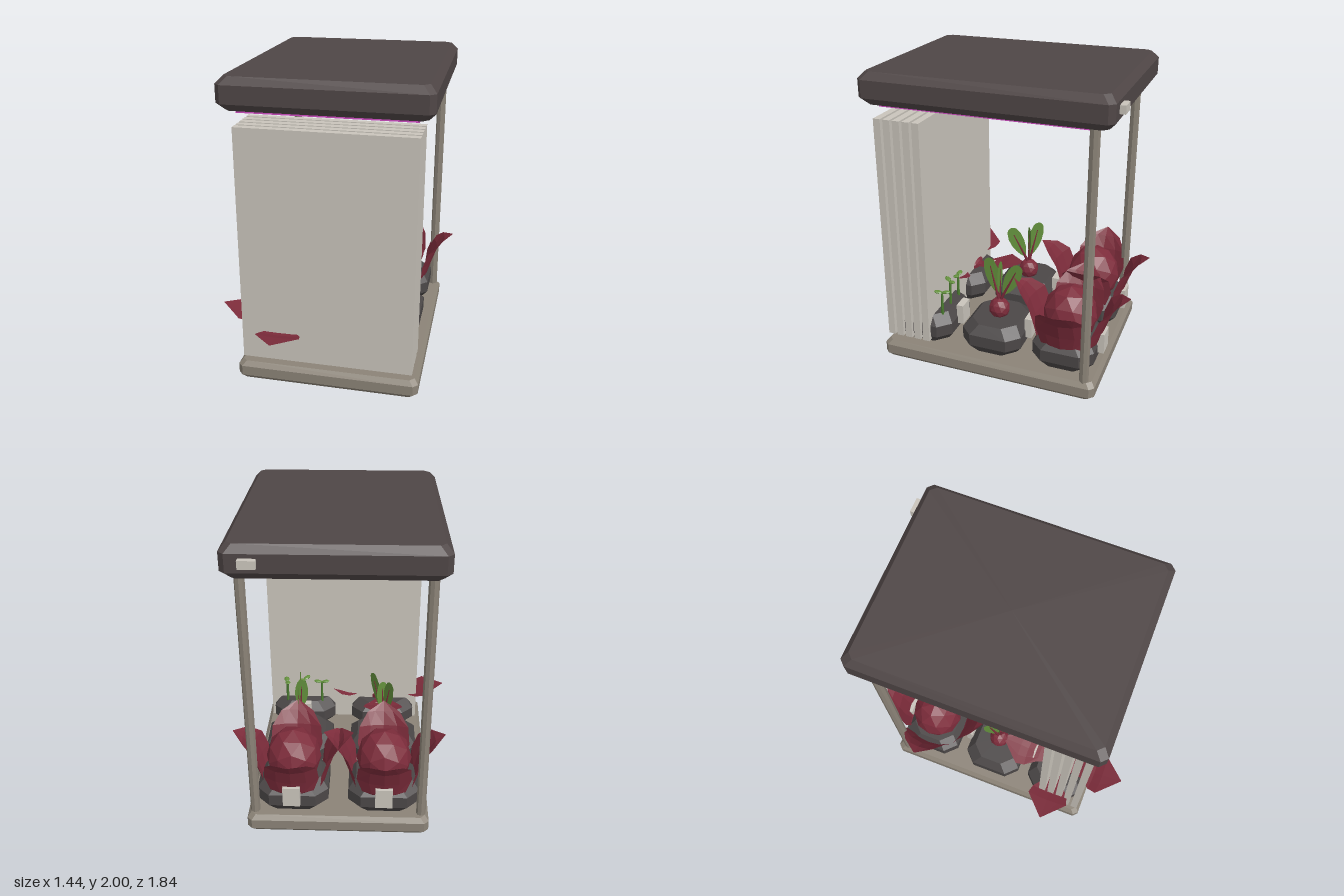
import * as THREE from 'three';

const mat = (name, color, double) => {
  const m = new THREE.MeshStandardMaterial({ color });
  m.name = name;
  if (double) m.side = THREE.DoubleSide;
  return m;
};

// Bakes flat facets into the geometry
function facet(geo) {
  const g = geo.index ? geo.toNonIndexed() : geo;
  g.computeVertexNormals();
  return g;
}

// Box with cut corners, lofted from octagonal rings [y, inset]
function chamferBox(hx, hz, c, rings) {
  const pos = [];
  const loops = rings.map(([y, inset]) => {
    const a = hx - inset, b = hz - inset, k = c;
    return [[a, k - b], [a, b - k], [a - k, b], [k - a, b], [-a, b - k], [-a, k - b], [k - a, -b], [a - k, -b]]
      .map(([x, z]) => [x, y, z]);
  });
  const tri = (...p) => p.forEach((v) => pos.push(...v));
  const first = loops[0], last = loops[loops.length - 1];
  for (let j = 0; j < 8; j++) {
    const n = (j + 1) % 8;
    for (let i = 0; i + 1 < loops.length; i++) {
      const a = loops[i][j], b = loops[i][n], d = loops[i + 1][j], e = loops[i + 1][n];
      tri(a, d, e);
      tri(a, e, b);
    }
    tri([0, first[0][1], 0], first[j], first[n]);
    tri([0, last[0][1], 0], last[n], last[j]);
  }
  const g = new THREE.BufferGeometry();
  g.setAttribute('position', new THREE.Float32BufferAttribute(pos, 3));
  return facet(g);
}

// Sheet leaf growing towards +z; rows are [radius, y, halfWidth, cup]
function sheetLeaf(rows) {
  const pos = [], idx = [];
  const across = [-1, -0.55, 0, 0.55, 1];
  rows.forEach(([r, y, w, cup]) => across.forEach((t) => pos.push(t * w, y + cup * t * t * 0.3, r - cup * t * t)));
  for (let i = 0; i + 1 < rows.length; i++) {
    for (let j = 0; j < 4; j++) {
      const a = i * 5 + j;
      idx.push(a, a + 1, a + 6, a, a + 6, a + 5);
    }
  }
  const g = new THREE.BufferGeometry();
  g.setAttribute('position', new THREE.Float32BufferAttribute(pos, 3));
  g.setIndex(idx);
  return facet(g);
}

export function createModel() {
  const model = new THREE.Group();
  model.name = 'indoorGarden';
  const roofMat = mat('charcoal', 0x4f4646);
  const frameMat = mat('warm grey', 0x8b8377);
  const panelMat = mat('pale grey', 0xc9c4bb);
  const lampMat = mat('magenta', 0xd04cc4);
  const potMat = mat('dark grey', 0x4b4747);
  const redMat = mat('beet red', 0x7d2c3b, true);
  const greenMat = mat('leaf green', 0x63903c, true);
  const stemMat = mat('stem green', 0x4a7a30);

  const add = (parent, name, geo, material, x = 0, y = 0, z = 0) => {
    const m = new THREE.Mesh(geo, material);
    m.name = name;
    m.position.set(x, y, z);
    parent.add(m);
    return m;
  };
  const box = (name, material, w, h, d, x, y, z, parent = model) =>
    add(parent, name, new THREE.BoxGeometry(w, h, d), material, x, y, z);

  // Cabinet: base, roof, lamp, rear posts, switch
  add(model, 'base', chamferBox(0.59, 0.742, 0.03, [[0, 0.025], [0.03, 0], [0.095, 0], [0.125, 0.025]]),
    frameMat, 0.06, 0, -0.036);
  add(model, 'roof', chamferBox(0.63, 0.782, 0.035, [[1.8, 0.04], [1.845, 0], [1.955, 0], [2, 0.04]]),
    roofMat, 0.06, 0, -0.042);
  box('growLamp', lampMat, 1.07, 0.035, 1.32, 0.06, 1.793, -0.018);
  for (const x of [-0.48, 0.6]) {
    add(model, 'rearPost', facet(new THREE.CylinderGeometry(0.031, 0.031, 1.7, 8)), frameMat, x, 0.96, -0.702);
  }
  box('switch', panelMat, 0.1, 0.05, 0.05, 0.53, 1.905, -0.835);

  // Stacked sliding front panels
  for (let i = 0; i < 5; i++) box('slidingPanel', panelMat, 1.1, 1.535, 0.047, 0.06, 0.9325, 0.66 - i * 0.065);

  const potGeo = chamferBox(0.23, 0.207, 0.08, [[0.125, 0.045], [0.19, 0], [0.27, 0], [0.33, 0.05]]);
  const lettuceLeaf = sheetLeaf([[0.17, 0.24, 0.08, 0], [0.21, 0.29, 0.14, 0.03], [0.24, 0.39, 0.175, 0.05],
    [0.28, 0.5, 0.165, 0.05], [0.33, 0.58, 0.11, 0.02], [0.39, 0.625, 0.003, 0]]);
  const lowLeaf = sheetLeaf([[0.06, 0.33, 0.025, 0], [0.17, 0.355, 0.07, 0], [0.26, 0.365, 0.13, 0.01],
    [0.32, 0.385, 0.145, 0.01], [0.46, 0.415, 0.003, 0]]);
  const bulbGeo = facet(new THREE.IcosahedronGeometry(1, 1));
  const blade = new THREE.Shape();
  blade.moveTo(0, 0);
  blade.bezierCurveTo(0.035, 0.04, 0.075, 0.16, 0.035, 0.25);
  blade.quadraticCurveTo(0, 0.29, -0.035, 0.25);
  blade.bezierCurveTo(-0.075, 0.16, -0.035, 0.04, 0, 0);
  const bladeGeo = new THREE.ShapeGeometry(blade, 5);

  const bulb = (parent, name, rx, ry, y) => add(parent, name, bulbGeo, redMat, 0, y, 0).scale.set(rx, ry, rx);
  const fourLeaves = (parent, name, geo) => {
    for (let i = 0; i < 4; i++) add(parent, name, geo, redMat).rotation.y = i * Math.PI / 2;
  };

  // Head of red lettuce
  function lettuce(p) {
    bulb(p, 'lettuceHeart', 0.18, 0.2, 0.44);
    fourLeaves(p, 'lettuceLeaf', lettuceLeaf);
  }

  // Low rosette with a flattened heart
  function rosette(p) {
    bulb(p, 'rosetteHeart', 0.12, 0.06, 0.34);
    fourLeaves(p, 'rosetteLeaf', lowLeaf);
  }

  // Radish with upright blades and red ribs
  function radish(p, turn) {
    bulb(p, 'radishRoot', 0.072, 0.075, 0.375);
    const top = new THREE.Group();
    top.name = 'radishTop';
    top.rotation.y = turn;
    p.add(top);
    for (const [tilt, spin, size] of [[-0.24, 0, 1], [0.44, 0, 1], [0.06, Math.PI / 2, 0.9]]) {
      const leaf = new THREE.Group();
      leaf.name = 'radishLeaf';
      leaf.position.y = 0.42;
      leaf.rotation.set(0, spin, -tilt);
      leaf.scale.setScalar(size);
      top.add(leaf);
      add(leaf, 'blade', bladeGeo, greenMat, 0, 0.06, 0);
      add(leaf, 'rib', new THREE.CylinderGeometry(0.003, 0.012, 0.27, 5), redMat, 0, 0.135, 0);
    }
  }

  // Tray of seedlings with paired leaves
  function seedlings(p) {
    for (let i = 0; i < 9; i++) {
      const s = new THREE.Group();
      s.name = 'seedling';
      s.position.set((i % 3 - 1) * 0.13, 0.32, (Math.floor(i / 3) - 1) * 0.13);
      s.rotation.y = i * 0.9;
      p.add(s);
      const h = 0.17 + (i % 2) * 0.02;
      add(s, 'seedlingStem', facet(new THREE.CylinderGeometry(0.008, 0.011, h, 6)), stemMat, 0, h / 2, 0);
      for (const side of [-1, 1]) {
        const leaf = add(s, 'seedlingLeaf', facet(new THREE.SphereGeometry(1, 7, 4)), greenMat, side * 0.027, h, 0);
        leaf.scale.set(0.032, 0.009, 0.02);
        leaf.rotation.z = side * 0.15;
      }
    }
  }

  // Two columns of three pots, each with a tag at its back
  const left = [seedlings, (p) => radish(p, Math.PI / 2), lettuce];
  const right = [rosette, (p) => radish(p, -0.96), lettuce];
  [[0.355, left], [-0.235, right]].forEach(([x, plants]) => plants.forEach((plant, i) => {
    const p = new THREE.Group();
    p.name = 'pottedPlant';
    p.position.set(x, 0, 0.46 - i * 0.495);
    model.add(p);
    add(p, 'pot', potGeo, potMat);
    box('potTag', panelMat, 0.11, 0.14, 0.048, 0, 0.29, -0.224, p);
    plant(p);
  }));

  return model;
}
